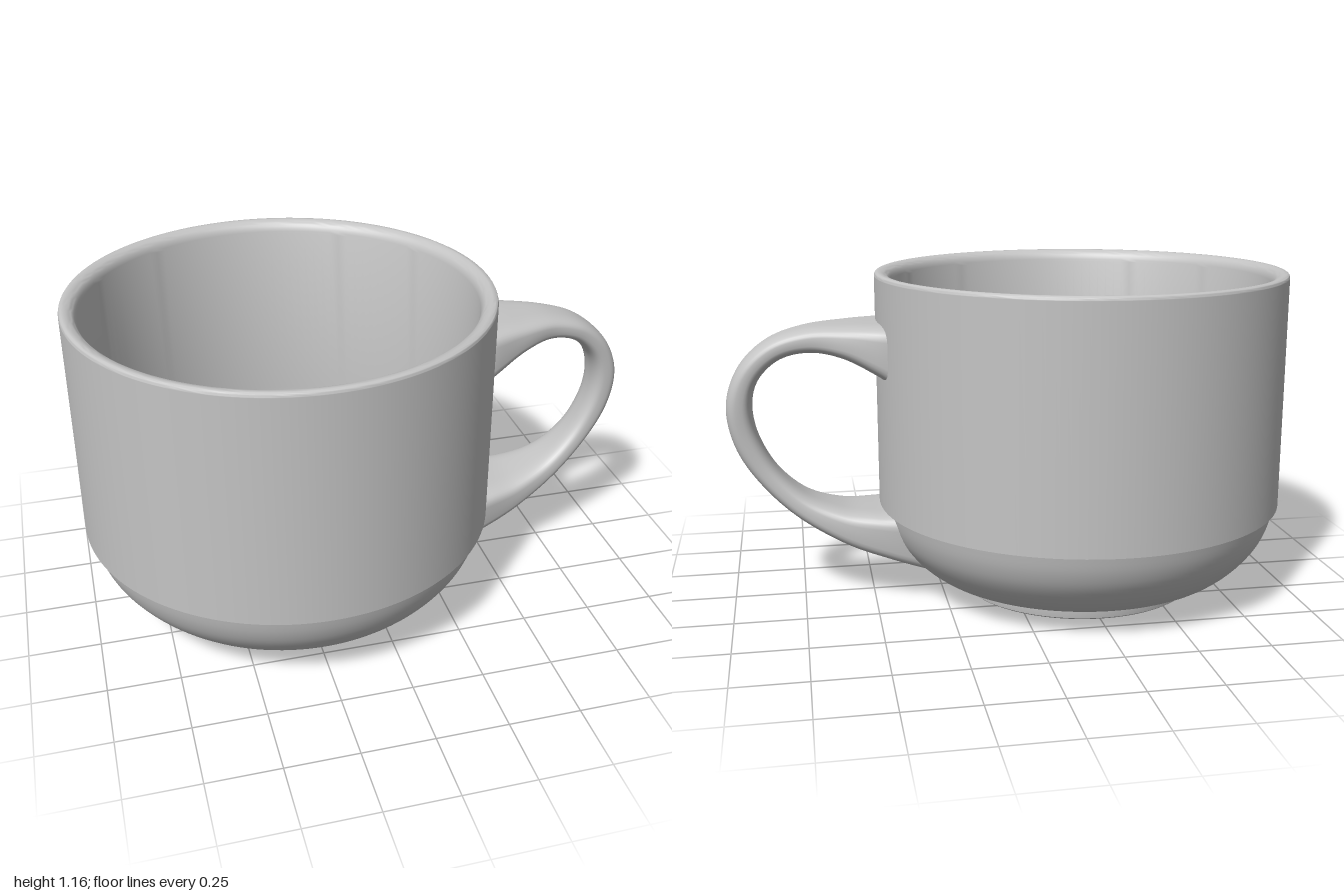
import * as THREE from 'three';
import { toCreasedNormals } from 'three/addons/utils/BufferGeometryUtils.js';

const CUP_X = -0.265;

// Smooth run of profile points through a few [radius, height] pairs
function smooth(pairs, n) {
  return new THREE.SplineCurve(pairs.map(p => new THREE.Vector2(...p))).getPoints(n);
}

function lathe(points) {
  return toCreasedNormals(new THREE.LatheGeometry(points, 128), 0.6);
}

// Whole shell: base, foot, bowl, straight band, rim, inside wall and raised floor disc
function cupGeometry() {
  const v = (x, y) => new THREE.Vector2(x, y);
  return lathe([
    v(0, 0), v(0.43, 0), v(0.438, 0.006), v(0.442, 0.03),
    ...smooth([[0.442, 0.035], [0.45, 0.052], [0.5, 0.06], [0.555, 0.08], [0.62, 0.132],
      [0.675, 0.2], [0.705, 0.265], [0.72, 0.33]], 28),
    v(0.735, 0.33), v(0.735, 1.15),
    ...smooth([[0.735, 1.152], [0.732, 1.16], [0.725, 1.164]], 5),
    ...smooth([[0.715, 1.164], [0.695, 1.157], [0.682, 1.142], [0.675, 1.12]], 8),
    v(0.672, 0.45),
    ...smooth([[0.67, 0.4], [0.655, 0.31], [0.61, 0.215], [0.54, 0.15], [0.46, 0.122], [0.39, 0.115]], 24),
    ...smooth([[0.385, 0.117], [0.378, 0.132], [0.365, 0.143], [0.35, 0.146]], 8),
    v(0, 0.146),
  ]);
}

// Handle swept through stations: outer x, outer y, inner x, inner y, half width, squareness
function handleGeometry() {
  const stations = [
    [0.425, 1.0, 0.425, 0.785, 0.192, 5],
    [0.48, 1.0, 0.485, 0.825, 0.18, 4.5],
    [0.575, 0.998, 0.59, 0.878, 0.147, 3.6],
    [0.72, 0.986, 0.7, 0.898, 0.102, 3],
    [0.85, 0.942, 0.805, 0.876, 0.085, 2.8],
    [0.95, 0.85, 0.882, 0.805, 0.076, 2.7],
    [0.998, 0.72, 0.908, 0.71, 0.071, 2.7],
    [0.977, 0.575, 0.89, 0.6, 0.067, 2.7],
    [0.9, 0.44, 0.828, 0.482, 0.072, 2.7],
    [0.77, 0.308, 0.728, 0.388, 0.094, 3],
    [0.6, 0.205, 0.605, 0.34, 0.133, 3.6],
    [0.44, 0.148, 0.495, 0.328, 0.168, 4.5],
    [0.3, 0.105, 0.425, 0.328, 0.188, 5],
  ];
  const outer = new THREE.CatmullRomCurve3(stations.map(s => new THREE.Vector3(s[0], s[1], s[4])), false, 'catmullrom');
  const inner = new THREE.CatmullRomCurve3(stations.map(s => new THREE.Vector3(s[2], s[3], s[5])), false, 'catmullrom');
  const rows = 84, sides = 40, pos = [], idx = [];
  for (let i = 0; i <= rows; i++) {
    const o = outer.getPoint(i / rows), n = inner.getPoint(i / rows);
    for (let j = 0; j < sides; j++) {
      const a = j / sides * Math.PI * 2, e = 2 / n.z;
      const c = Math.sign(Math.cos(a)) * Math.abs(Math.cos(a)) ** e;
      const s = Math.sign(Math.sin(a)) * Math.abs(Math.sin(a)) ** e;
      pos.push((o.x + n.x) / 2 + (o.x - n.x) / 2 * c, (o.y + n.y) / 2 + (o.y - n.y) / 2 * c, o.z * s);
      if (i < rows) {
        const p = i * sides + j, q = i * sides + (j + 1) % sides;
        idx.push(p, q, p + sides, q, q + sides, p + sides);
      }
    }
  }
  const g = new THREE.BufferGeometry();
  g.setAttribute('position', new THREE.Float32BufferAttribute(pos, 3));
  g.setIndex(idx);
  g.computeVertexNormals();
  return g;
}

export function createModel() {
  const glaze = new THREE.MeshStandardMaterial({ color: 0xc4c4c4 });
  glaze.name = 'grey glaze';

  const cup = new THREE.Mesh(cupGeometry(), glaze);
  cup.name = 'cupBody';
  cup.position.x = CUP_X;

  const handle = new THREE.Mesh(handleGeometry(), glaze);
  handle.name = 'handle';

  const group = new THREE.Group();
  group.name = 'cup';
  group.add(cup, handle);
  return group;
}
